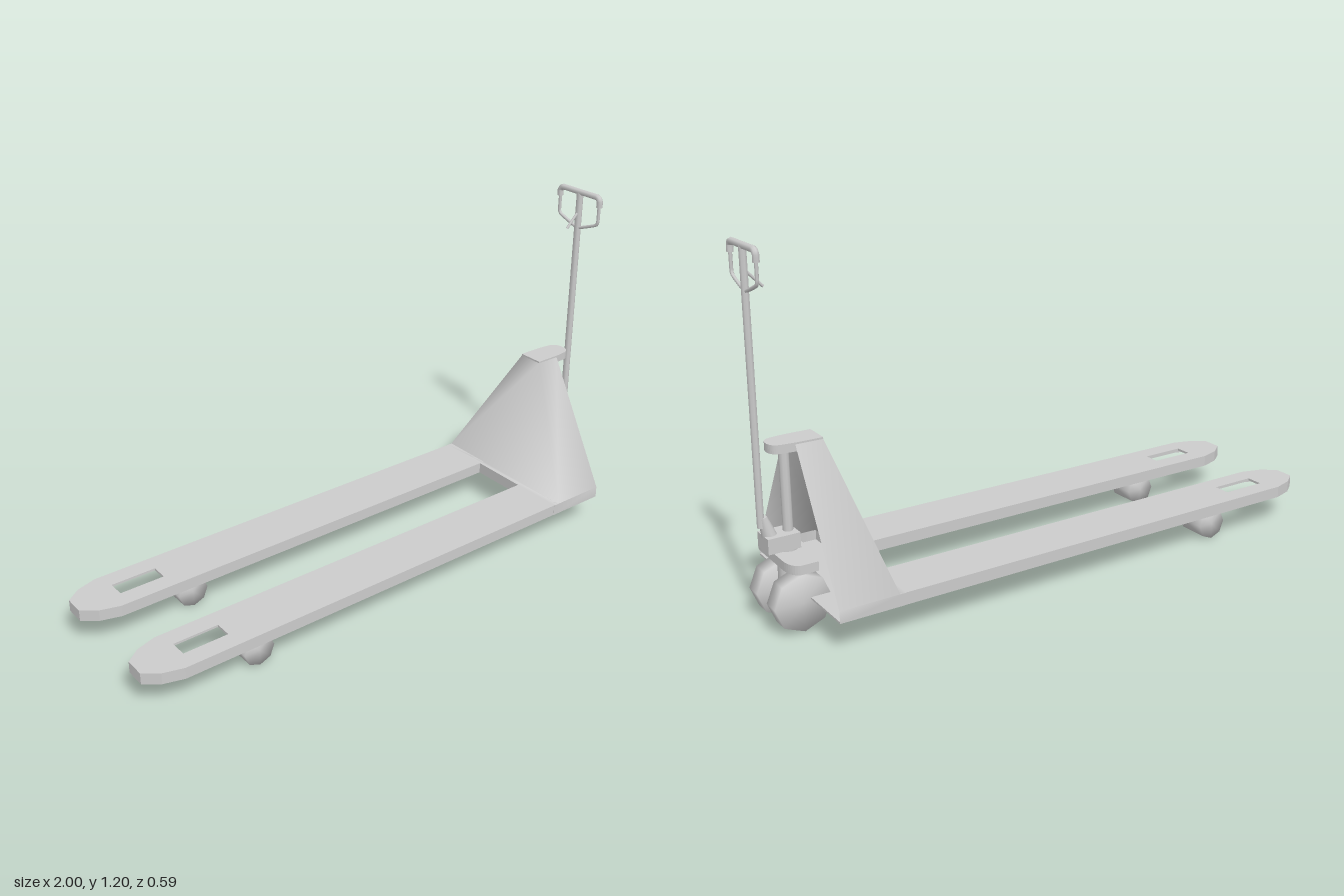
import * as THREE from 'three';
import { mergeVertices, toCreasedNormals } from 'three/addons/utils/BufferGeometryUtils.js';

const material = new THREE.MeshStandardMaterial({ color: 0xcccccc, side: THREE.DoubleSide });

function add(parent, name, geometry, x = 0, y = 0, z = 0) {
  const mesh = new THREE.Mesh(geometry, material);
  mesh.name = name;
  mesh.position.set(x, y, z);
  parent.add(mesh);
  return mesh;
}

// Share all corners so the shading rolls over the edges
function soften(geometry) {
  geometry.deleteAttribute('normal');
  geometry.deleteAttribute('uv');
  const g = mergeVertices(geometry, 1e-4);
  g.computeVertexNormals();
  return g;
}

// Low-poly wheel, axle along z
function wheel(radius, width) {
  const g = new THREE.CylinderGeometry(radius, radius, width, 8);
  return soften(g.rotateX(Math.PI / 2));
}

// Flat outline in x/z extruded downwards
function slab(shape, depth) {
  return new THREE.ExtrudeGeometry(shape, { depth, bevelEnabled: false, curveSegments: 8 })
    .rotateX(Math.PI / 2);
}

// Fork outline with a rounded tip, shrunk by an inset
function forkPoints(inset) {
  const half = [[0.68 - inset, 0.094 - inset], [-0.88, 0.094 - inset],
    [-0.95 + inset * 0.5, 0.073 - inset], [-1 + inset, 0.035 - inset * 0.4]];
  const pts = half.concat(half.map(([x, z]) => [x, -z]).reverse());
  return pts.map(([x, z]) => new THREE.Vector2(x, z));
}

function rod(parent, name, points, radius, sides = 8) {
  const path = new THREE.CurvePath();
  const v = points.map((p) => new THREE.Vector3(...p));
  for (let i = 1; i < v.length; i++) path.add(new THREE.LineCurve3(v[i - 1], v[i]));
  const curve = v.length > 2 ? new THREE.CatmullRomCurve3(v, false, 'catmullrom', 0.15) : path;
  return add(parent, name, new THREE.TubeGeometry(curve, v.length * 5, radius, sides), 0, 0, 0);
}

// U-shaped hollow tower, open towards the handle; level = [y, front x, half width]
function towerShell() {
  const levels = [[0.105, 0.66, 0.294], [0.145, 0.66, 0.294], [0.145, 0.68, 0.294], [0.585, 0.79, 0.045]];
  const pos = [];
  const index = [];
  for (const [y, x, w] of levels) pos.push(0.88, y, -w, x, y, -w, x, y, w, 0.88, y, w);
  for (let l = 0; l < levels.length - 1; l++) {
    for (let i = 0; i < 3; i++) {
      const a = l * 4 + i, b = a + 1, c = a + 4, d = a + 5;
      index.push(a, b, d, a, d, c);
    }
  }
  const g = new THREE.BufferGeometry();
  g.setAttribute('position', new THREE.Float32BufferAttribute(pos, 3));
  g.setIndex(index);
  return toCreasedNormals(g, 1.5);
}

export function createModel() {
  const model = new THREE.Group();
  model.name = 'palletTruck';

  // Forks: top plate with a slot, side walls, load roller
  for (const s of [1, -1]) {
    const fork = new THREE.Group();
    fork.name = s > 0 ? 'frontFork' : 'rearFork';
    fork.position.z = s * 0.199;
    model.add(fork);

    const plate = new THREE.Shape(forkPoints(0));
    plate.holes.push(new THREE.Path([[-0.85, -0.03], [-0.85, 0.03], [-0.69, 0.03], [-0.69, -0.03]]
      .map(([x, z]) => new THREE.Vector2(x, z))));
    add(fork, 'forkPlate', slab(plate, 0.008), 0, 0.145, 0);

    const wall = new THREE.Shape(forkPoints(0));
    wall.holes.push(new THREE.Path(forkPoints(0.008)));
    add(fork, 'forkWalls', slab(wall, 0.034), 0, 0.139, 0);

    add(fork, 'loadRoller', wheel(0.055, 0.107), -0.595, 0.055, s * 0.003);
  }

  // Tower, its floor and the bracket on top
  add(model, 'tower', towerShell());
  add(model, 'towerFloor', new THREE.BoxGeometry(0.22, 0.006, 0.588), 0.77, 0.108, 0);
  const bracket = new THREE.Shape();
  bracket.moveTo(0.79, -0.045);
  bracket.lineTo(0.88, -0.045);
  bracket.lineTo(0.925, -0.04);
  bracket.quadraticCurveTo(0.955, -0.035, 0.955, 0);
  bracket.quadraticCurveTo(0.955, 0.035, 0.925, 0.04);
  bracket.lineTo(0.88, 0.045);
  bracket.lineTo(0.79, 0.045);
  add(model, 'topBracket', slab(bracket, 0.028), 0, 0.591, 0);

  // Steering wheels and pump
  for (const s of [1, -1]) add(model, 'steeringWheel', wheel(0.094, 0.06), 0.904, 0.098, s * 0.067);
  add(model, 'steeringAxle', new THREE.CylinderGeometry(0.015, 0.015, 0.14, 8).rotateX(Math.PI / 2), 0.904, 0.098, 0);
  add(model, 'pumpColumn', new THREE.CylinderGeometry(0.034, 0.034, 0.2, 12), 0.905, 0.17, 0);
  add(model, 'pumpRod', new THREE.CylinderGeometry(0.016, 0.016, 0.28, 10), 0.9, 0.435, 0);

  const disc = new THREE.Shape();
  disc.moveTo(0.87, -0.145);
  disc.lineTo(0.93, -0.145);
  disc.quadraticCurveTo(0.958, -0.13, 0.958, -0.08);
  disc.lineTo(0.958, 0.08);
  disc.quadraticCurveTo(0.958, 0.13, 0.93, 0.145);
  disc.lineTo(0.87, 0.145);
  disc.quadraticCurveTo(0.85, 0.1, 0.85, 0);
  disc.quadraticCurveTo(0.85, -0.1, 0.87, -0.145);
  add(model, 'steeringPlate', slab(disc, 0.03), 0, 0.245, 0);
  add(model, 'pumpHead', new THREE.BoxGeometry(0.105, 0.05, 0.08), 0.93, 0.278, 0);

  // Tapered handle socket leaning outwards
  const socket = new THREE.CylinderGeometry(0.014, 0.026, 0.075, 10);
  const p = socket.attributes.position;
  for (let i = 0; i < p.count; i++) p.setX(i, p.getX(i) + p.getY(i) * 0.3);
  socket.computeVertexNormals();
  add(model, 'handleSocket', socket, 0.968, 0.325, 0);

  // Handle, grip loop and release lever
  const X = 0.986;
  rod(model, 'handleShaft', [[X, 0.33, 0], [X, 1.185, 0]], 0.012);
  rod(model, 'grip', [[X, 1.15, -0.095], [X, 1.172, -0.095], [X, 1.184, -0.083], [X, 1.184, 0],
    [X, 1.184, 0.083], [X, 1.172, 0.095], [X, 1.15, 0.095]], 0.011);
  rod(model, 'gripLoop', [[X, 1.16, -0.094], [X, 1.095, -0.094], [X, 1.082, -0.085], [X, 1.052, 0],
    [X, 1.082, 0.085], [X, 1.095, 0.094], [X, 1.16, 0.094]], 0.006, 6);
  rod(model, 'releaseLever', [[X, 1.115, 0], [0.932, 1.06, 0]], 0.005, 6);

  return model;
}
